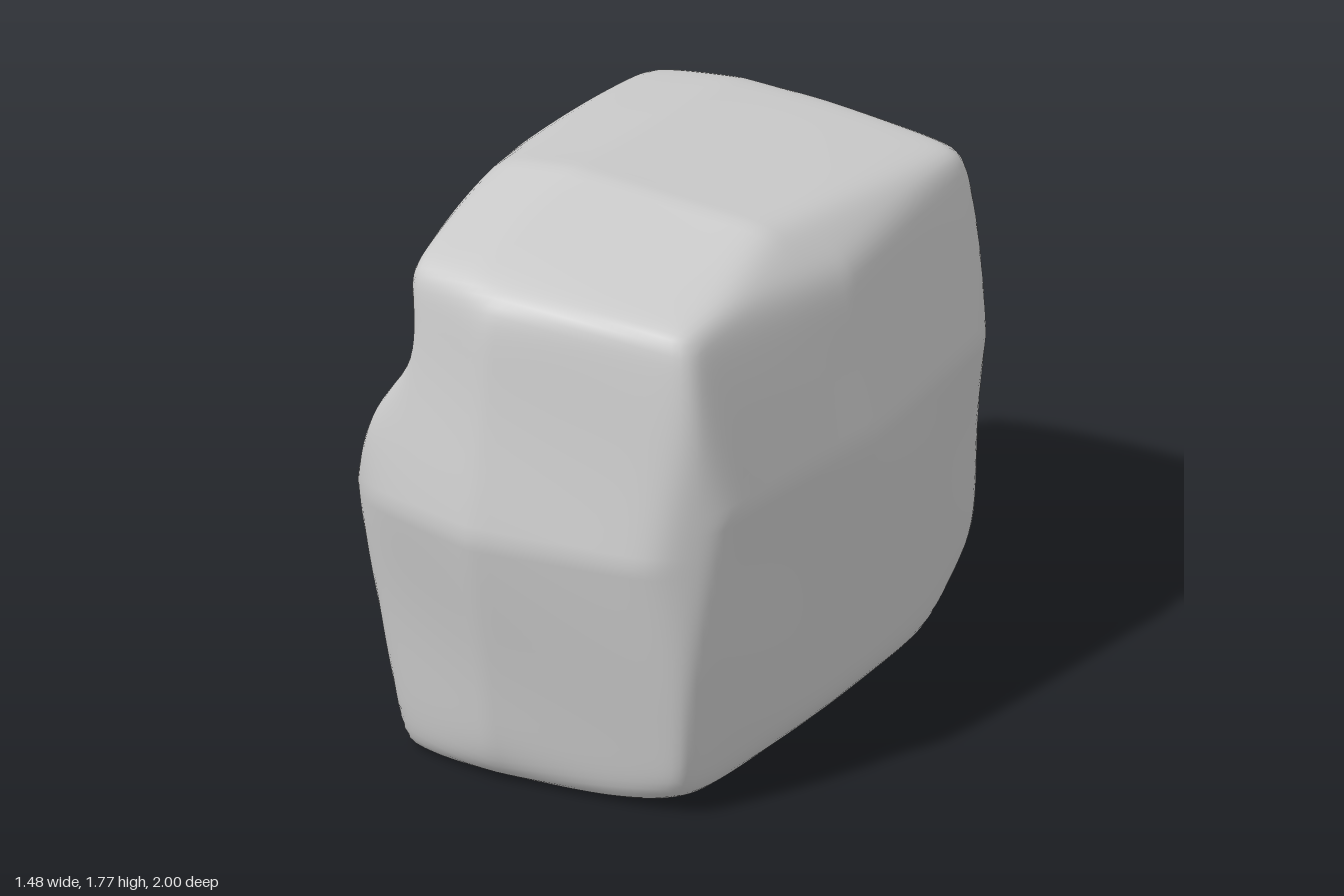
import * as THREE from 'three';
import { mergeVertices } from 'three/addons/utils/BufferGeometryUtils.js';

const CENTRE_Y = 0.885;

// A facet is a list of planes; each plane is stored so its value is 1 on it.
const facets = [];

// A blunt face of four planes tilted both ways about a crest point.
function addFace(make, point, tiltsA, tiltsB) {
  const crest = new THREE.Vector3(...point);
  facets.push(tiltsA.flatMap(a => tiltsB.map(b => {
    const n = new THREE.Vector3(...make(a, b));
    return n.divideScalar(n.dot(crest));
  })));
}

// A worn edge or corner: one plane at a given distance from the centre.
function addCut(x, y, z, distance) {
  facets.push([new THREE.Vector3(x, y, z).setLength(1 / distance)]);
}

// The six faces: left, right, front, back, top, bottom
addFace((a, b) => [1, a, b], [0.755, 0.15, 0], [0.18, -0.13], [0.11, -0.06]);
addFace((a, b) => [-1, a, b], [-0.745, 0, -0.05], [0.24, -0.19], [0.15, -0.08]);
addFace((a, b) => [a, b, 1], [-0.1, 0, 1], [0.14, -0.25], [0.15, -0.15]);
addFace((a, b) => [a, b, -1], [0.1, -0.13, -1], [0.06, -0.06], [0.15, -0.13]);
addFace((a, b) => [a, 1, b], [-0.2, 0.89, 0.18], [0.06, -0.1], [0.16, -0.1]);
addCut(0, -1, 0, 0.89);

// Edges and corners on every side, worn a little more at the top
for (const s of [-1, 1]) {
  addCut(0.65 * s, 0.68, 0, 0.945);
  addCut(0.65 * s, -0.68, 0, 0.99);
  addCut(0, 0.72, 0.68 * s, 1.155);
  addCut(0, -0.7, 0.7 * s, 1.2);
  addCut(0.6 * s, 0, -0.75, 1.04);
  addCut(0.67 * s, 0, 0.65, 1.0);
  for (const t of [-1, 1]) {
    addCut(0.354 * s, 0.866, 0.354 * t, 1.185 + 0.02 * s);
    addCut(0.354 * s, -0.866, 0.354 * t, 1.19 - 0.02 * s * t);
  }
}

// Heavier wear on single corners
addCut(-0.64, 0.25, -0.68, 1.09);
addCut(-0.25, 0.61, -0.75, 1.205);
addCut(0.25, 0.61, -0.75, 1.31);
addCut(-0.25, 0.61, 0.75, 1.265);
addCut(0.75, 0.61, 0.25, 1.095);
addCut(-0.75, -0.61, -0.25, 1.13);
addCut(0.5, -0.6, -0.6, 1.17);

// Soft intersection of all facets along a direction.
function stonePoint(dir) {
  const p = 42;
  let sum = 0;
  for (const facet of facets) sum += Math.max(0, ...facet.map(n => n.dot(dir))) ** p;
  return dir.multiplyScalar(sum ** (-1 / p));
}

const bell = (d, width) => Math.exp(-((d / width) ** 2));

// Depth of the slanting hollow, the short crack and the trough in the -x face.
function hollowDepth(y, z) {
  const hollow = 0.14 * bell(y - (1.17 + 0.3 * z), 0.19) * THREE.MathUtils.smoothstep(z, -0.45, 0.15);
  const crack = 0.06 * bell(y - (0.68 + 0.25 * z), 0.06) * bell(z - 0.22, 0.25);
  const trough = 0.08 * bell(y - (0.77 + 0.4 * z), 0.11) * bell(z + 0.42, 0.27);
  return hollow + crack + trough;
}

// Low uneven swells over the surface.
function swell(x, y, z) {
  return 1 + 0.004 * (Math.sin(5 * x + 4 * y + 1) * Math.sin(4 * z + 3 * y) + Math.sin(7 * y - 5 * z + 2 * x));
}

export function createModel() {
  let geometry = new THREE.BoxGeometry(1.4, 1.76, 1.9, 40, 46, 50);
  geometry.deleteAttribute('normal');
  geometry.deleteAttribute('uv');
  geometry = mergeVertices(geometry);

  const pos = geometry.attributes.position;
  const v = new THREE.Vector3();
  for (let i = 0; i < pos.count; i++) {
    stonePoint(v.fromBufferAttribute(pos, i));
    v.multiplyScalar(swell(v.x, v.y, v.z));
    const side = THREE.MathUtils.smoothstep(-v.x, 0.35, 0.58);
    v.x += side * hollowDepth(v.y + CENTRE_Y, v.z);
    // stand flat on the ground
    pos.setXYZ(i, v.x, Math.max(v.y + CENTRE_Y, 0), v.z);
  }
  geometry.computeVertexNormals();

  const boulder = new THREE.Mesh(geometry, new THREE.MeshStandardMaterial({ color: 0xcccccc }));
  boulder.name = 'boulder';
  const group = new THREE.Group();
  group.name = 'rock';
  group.add(boulder);
  return group;
}
